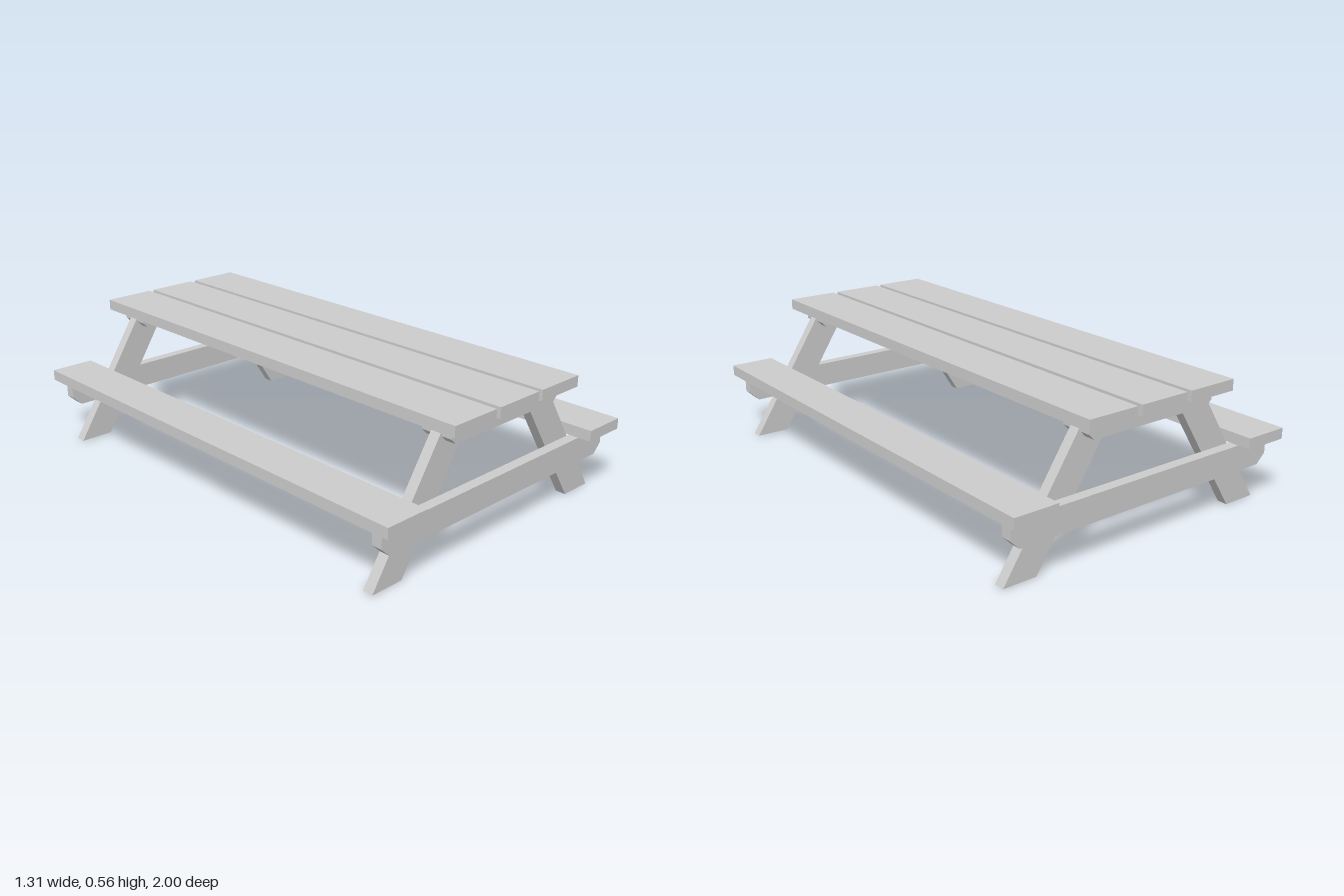
import * as THREE from 'three';

const material = new THREE.MeshStandardMaterial({ color: 0xcccccc, flatShading: true });
const THICK = 0.043; // thickness of every frame board

// Plank running the full length along z
function plank(name, x, bottom, width) {
  const mesh = new THREE.Mesh(new THREE.BoxGeometry(width, 0.044, 2), material);
  mesh.name = name;
  mesh.position.set(x, bottom + 0.022, 0);
  return mesh;
}

// Board cut from an outline in the xy plane, centred on depth z
function board(name, points, z) {
  const shape = new THREE.Shape(points.map(([x, y]) => new THREE.Vector2(x, y)));
  const geometry = new THREE.ExtrudeGeometry(shape, { depth: THICK, bevelEnabled: false });
  geometry.translate(0, 0, z - THICK / 2);
  const mesh = new THREE.Mesh(geometry, material);
  mesh.name = name;
  return mesh;
}

// Outline of a horizontal beam with its lower corners cut off
function beamOutline(half, bottom, top, cutX, cutY) {
  return [
    [-half + cutX, bottom], [half - cutX, bottom], [half, bottom + cutY],
    [half, top], [-half, top], [-half, bottom + cutY],
  ];
}

export function createModel() {
  const table = new THREE.Group();
  table.name = 'picnicTable';

  // Table top
  for (const i of [-1, 0, 1]) table.add(plank('topPlank', i * 0.238, 0.516, 0.216));

  // Benches
  for (const s of [-1, 1]) table.add(plank('benchSeat', s * 0.5615, 0.259, 0.187));

  // End frames
  for (const end of [-1, 1]) {
    const frame = new THREE.Group();
    frame.name = end > 0 ? 'frontFrame' : 'backFrame';
    const legZ = end * 0.8825;

    // Splayed legs
    for (const s of [-1, 1]) {
      const outline = [[0.478, 0], [0.62, 0], [0.287, 0.516], [0.145, 0.516]];
      frame.add(board('leg', outline.map(([x, y]) => [s * x, y]), legZ));
    }

    // Bench beam on the outside of the legs
    frame.add(board('benchBeam', beamOutline(0.626, 0.154, 0.259, 0.04, 0.038), legZ + end * THICK));

    // Pair of cleats clamping the leg tops
    for (const side of [-1, 1]) {
      frame.add(board('topCleat', beamOutline(0.297, 0.458, 0.516, 0.022, 0.022), legZ + side * THICK));
    }
    table.add(frame);
  }
  return table;
}
